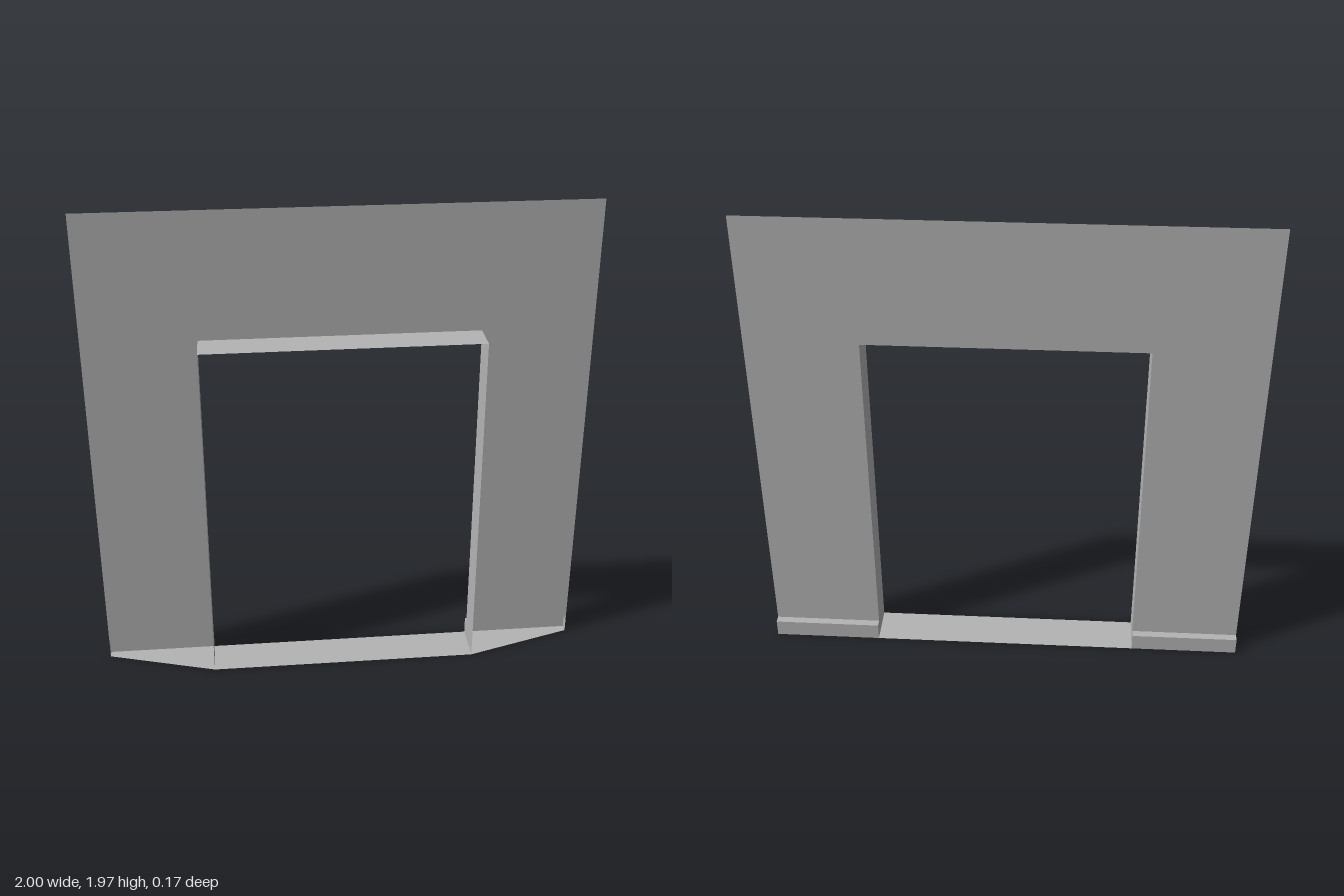
import * as THREE from 'three';

const HALF = 1, TOP = 1.965;                 // wall panel
const DOOR = 0.553, DOOR_TOP = 1.452;        // opening
const WALL_Z = -0.053, FRONT = 0.084, BACK = -0.085;
const SKIRT = 0.072;                         // height of the recess at the foot

export function createModel() {
  const group = new THREE.Group();
  const grey = new THREE.MeshStandardMaterial({ color: 0xb4b4b4, side: THREE.DoubleSide });
  grey.name = 'grey';

  const add = (name, geometry) => {
    const mesh = new THREE.Mesh(geometry, grey);
    mesh.name = name;
    group.add(mesh);
    return mesh;
  };
  const outline = (points) =>
    new THREE.ShapeGeometry(new THREE.Shape(points.map(([x, y]) => new THREE.Vector2(x, y))));
  // flat sheets: upright facing z, upright facing x, and level
  const faceZ = (name, x0, x1, y0, y1, z) =>
    add(name, new THREE.PlaneGeometry(x1 - x0, y1 - y0).translate((x0 + x1) / 2, (y0 + y1) / 2, z));
  const faceX = (name, x, y0, y1, z0, z1) =>
    add(name, new THREE.PlaneGeometry(z1 - z0, y1 - y0).rotateY(Math.PI / 2)
      .translate(x, (y0 + y1) / 2, (z0 + z1) / 2));
  const faceY = (name, x0, x1, y, z0, z1) =>
    add(name, new THREE.PlaneGeometry(x1 - x0, z1 - z0).rotateX(-Math.PI / 2)
      .translate((x0 + x1) / 2, y, (z0 + z1) / 2));

  // thin wall panel around the doorway
  add('wall', outline([
    [-HALF, SKIRT], [-DOOR, SKIRT], [-DOOR, DOOR_TOP], [DOOR, DOOR_TOP],
    [DOOR, SKIRT], [HALF, SKIRT], [HALF, TOP], [-HALF, TOP],
  ]).translate(0, 0, WALL_Z));

  // floor plate with tapered front corners (shape y becomes -z)
  add('floor', outline([
    [-HALF, -WALL_Z], [-DOOR, -FRONT], [DOOR, -FRONT],
    [HALF, -WALL_Z], [HALF, -BACK], [-HALF, -BACK],
  ]).rotateX(-Math.PI / 2));

  // door lining
  faceY('lintel', -DOOR, DOOR, DOOR_TOP, WALL_Z, FRONT);
  for (const [side, s] of [['left', 1], ['right', -1]]) {
    faceX(side + 'Jamb', s * DOOR, 0, DOOR_TOP, WALL_Z, FRONT);

    // skirting recess stepping back behind the wall
    const x0 = Math.min(s * DOOR, s * HALF), x1 = Math.max(s * DOOR, s * HALF);
    faceZ(side + 'SkirtingBack', x0, x1, 0, SKIRT, BACK);
    faceY(side + 'SkirtingTop', x0, x1, SKIRT, BACK, WALL_Z);
    faceX(side + 'SkirtingInnerEnd', s * DOOR, 0, SKIRT, BACK, WALL_Z);
    faceX(side + 'SkirtingOuterEnd', s * HALF, 0, SKIRT, BACK, WALL_Z);
  }
  return group;
}
